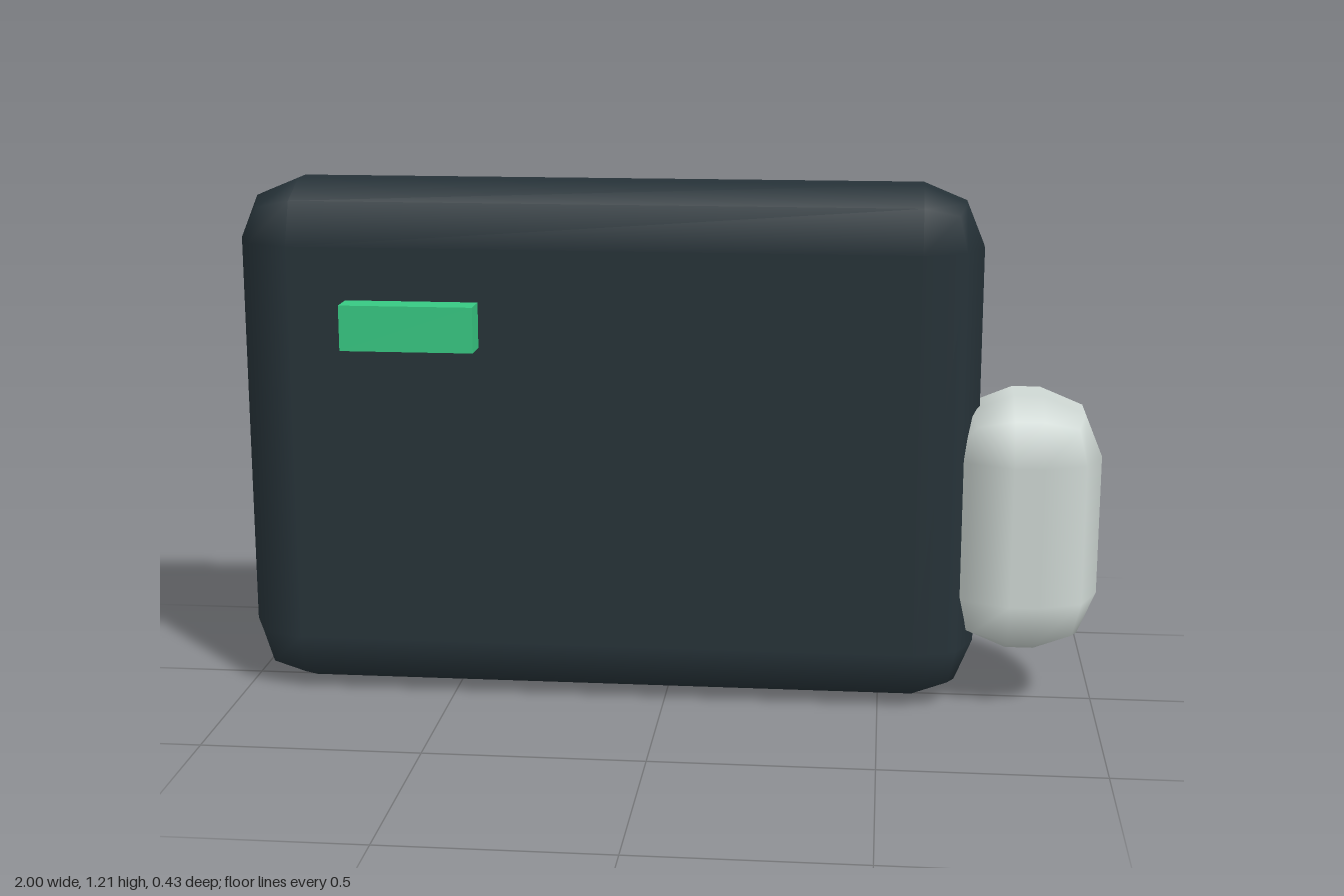
import * as THREE from 'three';
import { RoundedBoxGeometry } from 'three/addons/geometries/RoundedBoxGeometry.js';

// Adds a named, coloured part at a position
function addPart(group, name, geometry, color, x, y, z) {
  const mesh = new THREE.Mesh(geometry, new THREE.MeshStandardMaterial({ color }));
  mesh.name = name;
  mesh.position.set(x, y, z);
  group.add(mesh);
}

export function createModel() {
  const model = new THREE.Group();
  model.name = 'panelWithSideKnob';
  const bevel = 0.14;

  // Dark slab with chamfered round edges
  addPart(model, 'body', new RoundedBoxGeometry(1.72, 1.21, 0.345, 1, bevel), 0x263238, -0.14, 0.605, -0.026);

  // Pale knob sunk into the side of the slab
  addPart(model, 'sideKnob', new RoundedBoxGeometry(0.345, 0.605, 0.38, 1, bevel), 0xcfd8d4, 0.828, 0.432, -0.026);

  // Green indicator standing out of the front
  addPart(model, 'indicatorLight', new THREE.BoxGeometry(0.305, 0.104, 0.104), 0x37c882, -0.572, 0.897, 0.164);

  return model;
}
